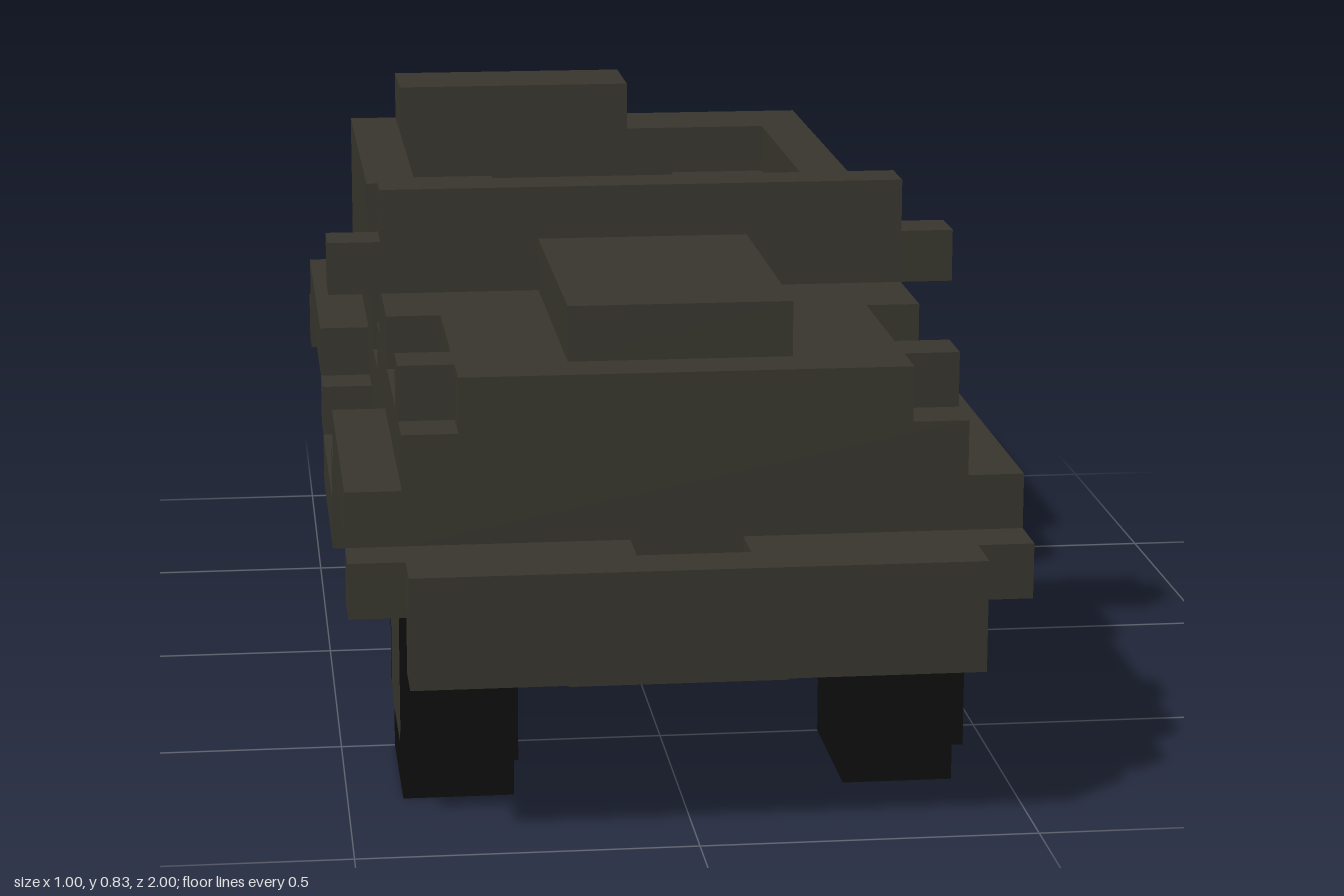
import * as THREE from 'three';

const U = 1 / 12; // one block

export function createModel() {
  const model = new THREE.Group();
  model.name = 'offRoadCar';
  const olive = new THREE.MeshStandardMaterial({ color: 0x37352d });
  olive.name = 'dark olive';
  const black = new THREE.MeshStandardMaterial({ color: 0x0d0d0d });
  black.name = 'tyre black';

  // Box given by its limits in blocks
  const box = (name, x0, x1, y0, y1, z0, z1, material = olive, parent = model) => {
    const geo = new THREE.BoxGeometry((x1 - x0) * U, (y1 - y0) * U, (z1 - z0) * U);
    const mesh = new THREE.Mesh(geo, material);
    mesh.position.set((x0 + x1) * U / 2, (y0 + y1) * U / 2, (z0 + z1) * U / 2);
    mesh.name = name;
    parent.add(mesh);
    return mesh;
  };
  // Same box on both sides
  const pair = (name, x0, x1, ...rest) => {
    box(name + 'Left', x0, x1, ...rest);
    box(name + 'Right', -x1, -x0, ...rest);
  };

  // Chassis, narrow between the wheels
  box('floor', -5, 5, 3, 4, -4, 5);
  box('frontChassis', -3, 3, 3, 5, 5, 10);
  box('rearChassis', -3, 3, 3, 5, -9, -4);
  box('tailChassis', -5, 5, 3, 5, -11, -9);

  // Hood with stepped corners
  box('engineBay', -5, 5, 5, 7, 3, 10);
  box('hood', -4, 4, 7, 8, 3, 10);
  pair('hoodEdgeRear', 4, 5, 7, 8, 3, 5);
  pair('hoodEdgeFront', 4, 5, 7, 8, 8, 9);
  box('hoodBulge', -2, 2, 8, 9, 3, 9);

  // Windshield, mirrors and dashboard
  box('firewall', -5, 5, 4, 8, 2, 3);
  box('windshield', -5, 5, 8, 10, 2, 3);
  pair('mirror', 5, 6, 8, 9, 2, 3);
  box('dashboard', -5, 5, 5, 7, 1, 2);
  pair('cowlSide', 4, 5, 4, 5, 1, 5);

  // Doors and seats
  pair('doorSill', 4, 5, 4, 6, -1, 1);
  pair('doorPillar', 4, 5, 4, 8, -3, -1);
  pair('seat', 1, 4, 4, 6, -2, 0);
  pair('seatBack', 1, 4, 4, 9, -3, -2);
  box('centreTunnel', -1, 1, 4, 5, -3, 0);

  // Rear tub with ledges around a sunken floor
  pair('tubWall', 4, 5, 5, 9, -11, -3);
  pair('tubFrontCorner', 4, 5, 4, 5, -4, -3);
  box('tailgate', -4, 4, 5, 9, -11, -9);
  box('tailgateTop', -4, 1, 9, 10, -11, -9);
  pair('tubLedge', 2, 4, 5, 8, -9, -3);
  box('tubFrontLedge', -2, 2, 4, 8, -4, -3);
  box('tubFloor', -2, 2, 5, 6, -9, -4);
  box('rearBench', -2, 2, 6, 7, -9, -8);

  // Fenders stepping down to the running boards
  pair('frontFender', 5, 6, 5, 6, 4, 10);
  pair('frontFenderStep', 5, 6, 4, 5, 3, 4);
  pair('runningBoard', 5, 6, 3, 4, -2, 3);
  pair('rearFenderStep', 5, 6, 4, 5, -3, -2);
  pair('rearFender', 5, 6, 5, 6, -10, -3);
  pair('rearFenderTail', 5, 6, 4, 5, -11, -10);

  // Front bumper with a gap behind its centre
  box('bumper', -5, 5, 3, 5, 11, 12);
  pair('bumperArm', 1, 5, 4, 5, 10, 11);
  pair('bumperBracket', 1, 4, 3, 4, 10, 11);
  pair('bumperEnd', 5, 6, 4, 5, 10, 11);

  // Wheel: cross-shaped tyre with a hub plate, axis along local x, facing +x
  const wheel = (name, width) => {
    const g = new THREE.Group();
    g.name = name;
    const h = width / 2;
    box('tyreTall', -h, h, -2.5, 2.5, -1.5, 1.5, black, g);
    box('tyreFront', -h, h, -1.5, 1.5, 1.5, 2.5, black, g);
    box('tyreBack', -h, h, -1.5, 1.5, -2.5, -1.5, black, g);
    const s = new THREE.Shape();
    const a = 1.5 * U, b = 1.2 * U;
    [[-b, -a], [b, -a], [a, -b], [a, b], [b, a], [-b, a], [-a, b], [-a, -b]]
      .forEach(([x, y], i) => (i ? s.lineTo(x, y) : s.moveTo(x, y)));
    const hub = new THREE.Mesh(new THREE.ShapeGeometry(s), olive);
    hub.name = 'hub';
    hub.rotation.y = Math.PI / 2;
    hub.position.x = h * U + 0.003;
    g.add(hub);
    model.add(g);
    return g;
  };
  for (const [end, z] of [['front', 7.5], ['rear', -6.5]]) {
    for (const side of [1, -1]) {
      const w = wheel(end + (side > 0 ? 'WheelLeft' : 'WheelRight'), 2);
      w.position.set(side * 4 * U, 2.5 * U, z * U);
      if (side < 0) w.rotation.y = Math.PI;
    }
    // Axle and differential
    box(end + 'Axle', -3, 3, 2, 3, z - 0.5, z + 0.5);
    box(end + 'Differential', -2, 2, 2, 3, z - 1.5, z + 1.5);
  }

  // Spare wheel on the tailgate
  const spare = wheel('spareWheel', 1);
  spare.rotation.y = Math.PI / 2;
  spare.position.set(-1.5 * U, 6.5 * U, -11.5 * U);

  return model;
}
